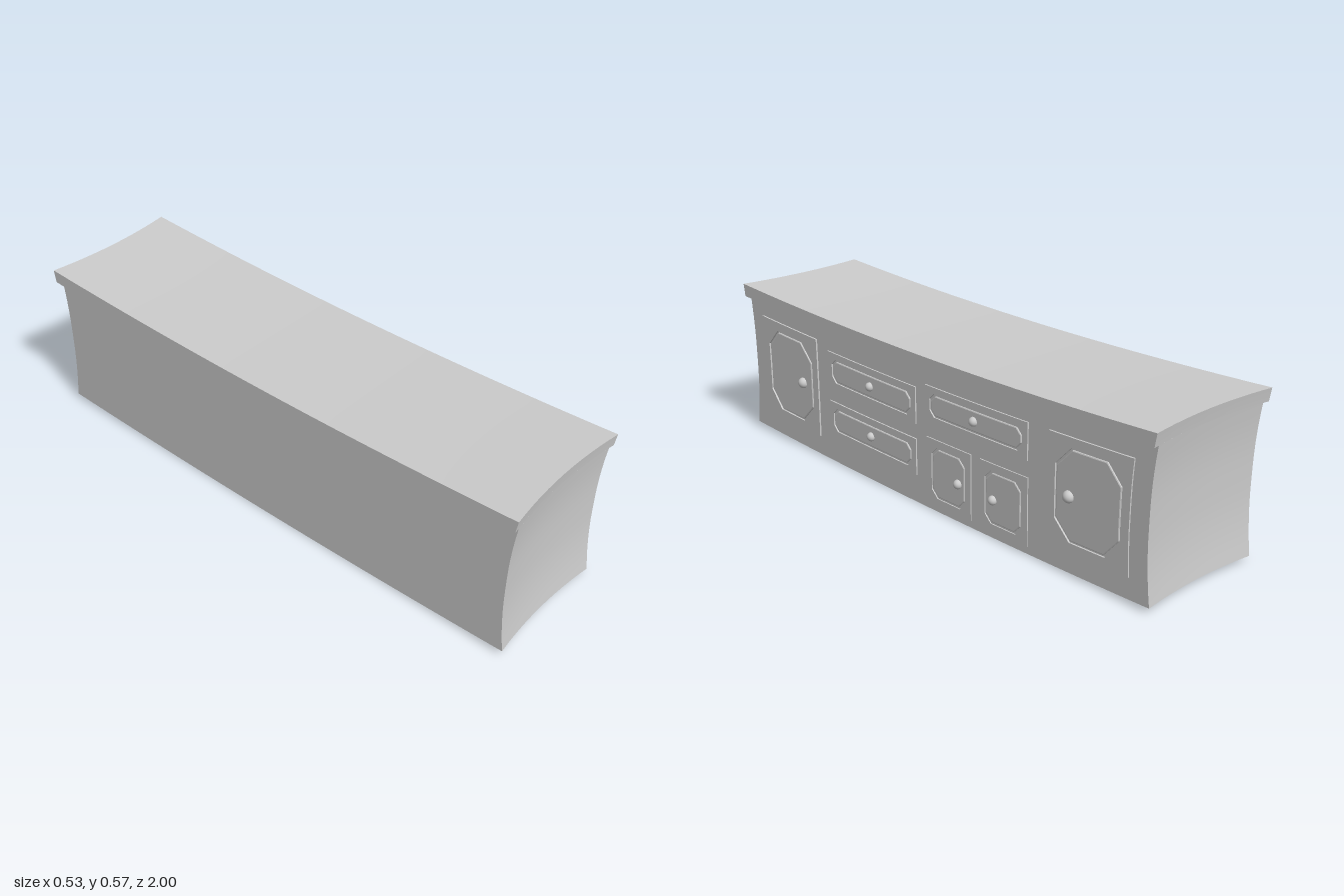
import * as THREE from 'three';
import { toCreasedNormals } from 'three/addons/utils/BufferGeometryUtils.js';

const FACE = 0.237; // x of the cabinet's door side
const material = new THREE.MeshStandardMaterial({ color: 0xcccccc });

// Sagging long sides and hollow ends, applied to every part
function warp(p) {
  const { x, y, z } = p;
  const across = 1 - (x / 0.262) ** 2;
  const upright = 1 - ((y - 0.27) / 0.275) ** 2;
  const low = Math.max(0, 1 - y / 0.27);
  const pull = 0.02 * across + 0.026 * upright + 0.01 * low;
  p.z = z * (1 - pull * z * z);
  p.y = y + (0.018 + 0.009 * (y / 0.545)) * z * z;
  return p;
}

function warped(geometry, crease = 0.5) {
  const pos = geometry.attributes.position;
  const p = new THREE.Vector3();
  for (let i = 0; i < pos.count; i++) {
    warp(p.fromBufferAttribute(pos, i));
    pos.setXYZ(i, p.x, p.y, p.z);
  }
  return toCreasedNormals(geometry, crease);
}

function add(parent, name, geometry) {
  const mesh = new THREE.Mesh(geometry, material);
  mesh.name = name;
  parent.add(mesh);
  return mesh;
}

function box(x0, x1, y0, y1) {
  const g = new THREE.BoxGeometry(x1 - x0, y1 - y0, 2, 12, 12, 40);
  return g.translate((x0 + x1) / 2, (y0 + y1) / 2, 0);
}

// Rectangle outline with cut corners, each side divided so it can bend
function outline(w, h, cut = 0) {
  const a = w / 2, b = h / 2, c = cut;
  const corners = c
    ? [[-a + c, -b], [a - c, -b], [a, -b + c], [a, b - c], [a - c, b], [-a + c, b], [-a, b - c], [-a, -b + c]]
    : [[-a, -b], [a, -b], [a, b], [-a, b]];
  const points = [];
  corners.forEach((p, i) => {
    const q = corners[(i + 1) % corners.length];
    for (let k = 0; k < 8; k++) {
      points.push(new THREE.Vector2(p[0] + (q[0] - p[0]) * k / 8, p[1] + (q[1] - p[1]) * k / 8));
    }
  });
  return points;
}

// Turn a flat shape into a slab standing on the door side
function plate(shape, depth, y, z, bevel = 0) {
  const g = new THREE.ExtrudeGeometry(shape, {
    depth: depth - bevel, bevelEnabled: bevel > 0, bevelThickness: bevel,
    bevelSize: bevel * 2, bevelOffset: -bevel * 2, bevelSegments: 1,
  });
  g.rotateY(Math.PI / 2).translate(FACE, y, z);
  return warped(g, 0.3);
}

// Frame, recessed groove, raised field and round knob
function frontPanel({ name, z, y, depth, rim, cut, knob }) {
  const group = new THREE.Group();
  group.name = name;
  const w = z[1] - z[0], h = y[1] - y[0];
  const cz = (z[0] + z[1]) / 2, cy = (y[0] + y[1]) / 2;
  const iw = w - 2 * rim, ih = h - 2 * rim;

  const frame = new THREE.Shape(outline(w, h));
  frame.holes.push(new THREE.Path(outline(iw, ih, cut).reverse()));
  add(group, name + 'Frame', plate(frame, depth, cy, cz));

  const gap = 0.007;
  const field = new THREE.Shape(outline(iw - 2 * gap, ih - 2 * gap, cut * 0.95));
  add(group, name + 'Field', plate(field, depth, cy, cz, 0.0015));

  const [kz, ky, r] = knob;
  const ball = add(group, name + 'Knob', new THREE.SphereGeometry(r, 20, 14));
  ball.position.copy(warp(new THREE.Vector3(FACE + 0.006, ky, kz)));
  return group;
}

export function createModel() {
  const model = new THREE.Group();
  model.name = 'sideboard';

  add(model, 'body', warped(box(-0.24, FACE, 0, 0.5)));
  add(model, 'worktop', warped(box(-0.264, 0.259, 0.5, 0.545)));

  // Tall doors at both ends
  for (const [name, s] of [['leftDoor', 1], ['rightDoor', -1]]) {
    const z = [0.582 * s, 0.925 * s].sort((a, b) => a - b);
    model.add(frontPanel({ name, z, y: [0.072, 0.443], depth: 0.006, rim: 0.032, cut: 0.065, knob: [0.675 * s, 0.254, 0.02] }));
  }

  // Two stacked drawers
  [0.168, 0.353].forEach((y, i) => {
    model.add(frontPanel({
      name: i ? 'upperDrawer' : 'lowerDrawer', z: [0.035, 0.515], y: [y - 0.066, y + 0.066],
      depth: 0.005, rim: 0.022, cut: 0.022, knob: [0.275, y, 0.016],
    }));
  });

  // Single drawer above two small doors
  model.add(frontPanel({
    name: 'wideDrawer', z: [-0.492, -0.015], y: [0.316, 0.442],
    depth: 0.005, rim: 0.022, cut: 0.022, knob: [-0.25, 0.379, 0.016],
  }));
  model.add(frontPanel({
    name: 'smallDoorInner', z: [-0.235, -0.018], y: [0.025, 0.26],
    depth: 0.004, rim: 0.025, cut: 0.028, knob: [-0.175, 0.138, 0.016],
  }));
  model.add(frontPanel({
    name: 'smallDoorOuter', z: [-0.495, -0.276], y: [0.025, 0.26],
    depth: 0.004, rim: 0.025, cut: 0.028, knob: [-0.34, 0.136, 0.016],
  }));

  return model;
}
